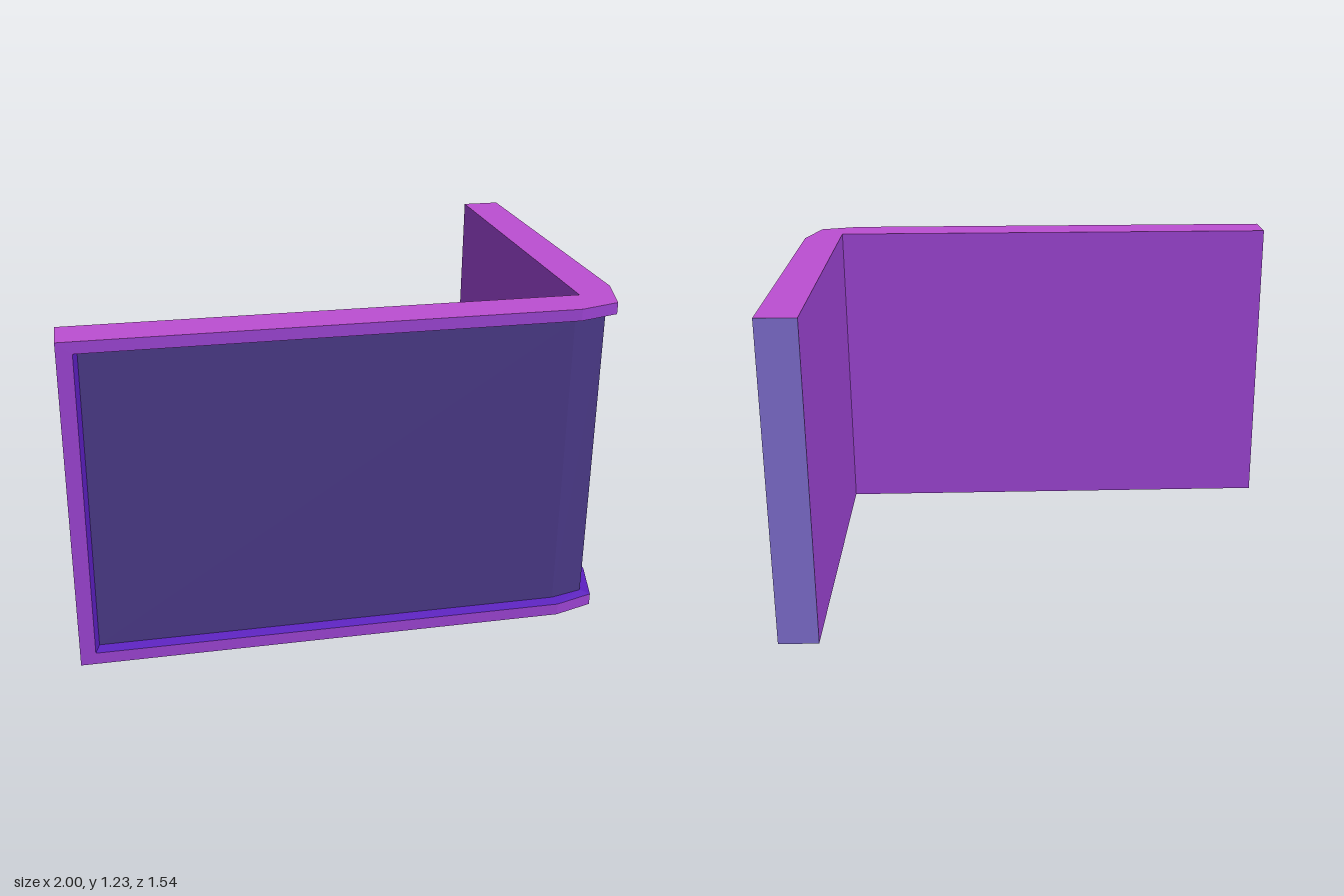
import * as THREE from 'three';

const HEIGHT = 1.23;

// plan paths as [x, z], running from the left wing round the corner to the side wing
const OUTER = [[-1, 0.767], [0.8, 0.767], [0.95, 0.72], [1, 0.53], [1, -0.77]];
const OPENING = [[-0.945, 0.767], ...OUTER.slice(1, 4), [1, -0.71]];
const SCREEN = [[-0.93, 0.732], [0.79, 0.732], [0.915, 0.7], [0.965, 0.52], [0.965, -0.695]];
const INNER = [[-1, 0.61], [0.8, 0.61], [0.85, 0.61], [0.85, 0.53], [0.85, -0.77]];

const material = (name, color) => {
  const m = new THREE.MeshStandardMaterial({ color });
  m.name = name;
  return m;
};

// lift a plan path to a height
const at = (path, y) => path.map(([x, z]) => [x, y, z]);

// flat quads between a lower and an upper edge, each pair running left to right
function strips(name, mat, pairs) {
  const pos = [];
  for (const [a, b] of pairs) {
    for (let i = 0; i < a.length - 1; i++) {
      pos.push(...a[i], ...a[i + 1], ...b[i + 1], ...a[i], ...b[i + 1], ...b[i]);
    }
  }
  const geo = new THREE.BufferGeometry();
  geo.setAttribute('position', new THREE.Float32BufferAttribute(pos, 3));
  geo.computeVertexNormals();
  const mesh = new THREE.Mesh(geo, mat);
  mesh.name = name;
  return mesh;
}

// closed border between a front rim and a back rim, both [path, low, high]
function border([p, p0, p1], [q, q0, q1]) {
  const n = p.length - 1;
  const pl = at(p, p0), ph = at(p, p1), ql = at(q, q0), qh = at(q, q1);
  return [
    [pl, ql],
    [qh, ph],
    [[pl[0], ql[0]], [ph[0], qh[0]]],
    [[ql[n], pl[n]], [qh[n], ph[n]]],
  ];
}

export function createModel() {
  const purple = material('frame purple', 0x9a43d0);
  const orchid = material('top orchid', 0xbc4fd2);
  const violet = material('bezel violet', 0x5a1ebc);
  const indigo = material('screen indigo', 0x493885);
  const slate = material('end slate blue', 0x7c6ccb);

  const outerRim = [OUTER, 0, HEIGHT];
  const openingRim = [OPENING, 0.045, 1.187];
  const screenRim = [SCREEN, 0.056, 1.176];
  const wall = (path) => [at(path, 0), at(path, HEIGHT)];

  const model = new THREE.Group();
  model.name = 'cornerDisplay';
  model.add(
    strips('frontFrame', purple, border(outerRim, openingRim)),
    strips('recessedBezel', violet, border(openingRim, screenRim)),
    strips('screen', indigo, [[at(SCREEN, 0.056), at(SCREEN, 1.176)]]),
    strips('backWall', purple, [wall([...INNER].reverse())]),
    strips('topFace', orchid, [[at(OUTER, HEIGHT), at(INNER, HEIGHT)]]),
    strips('bottomFace', violet, [[at(INNER, 0), at(OUTER, 0)]]),
    strips('endFaces', slate, [wall([INNER[0], OUTER[0]]), wall([OUTER[4], INNER[4]])]),
  );
  return model;
}
